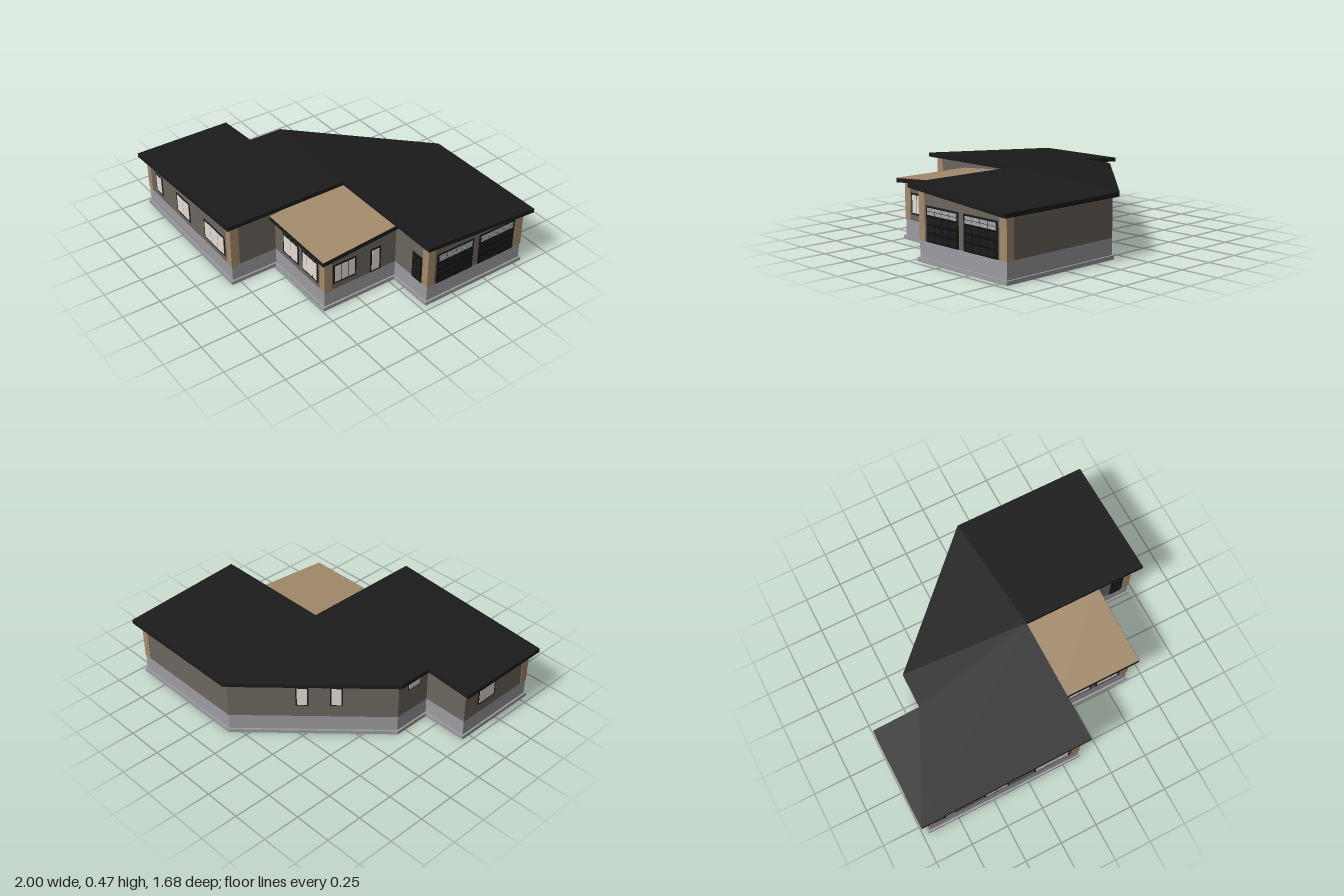
import * as THREE from 'three';

const material = (name, color) => {
  const m = new THREE.MeshStandardMaterial({ color });
  m.name = name;
  return m;
};

// Plans are counter-clockwise lists of [x, z] seen from above
const EAVES = [[-1, .841], [.155, .841], [.155, -.006], [1, -.006], [1, -.841], [.085, -.841], [-.68, -.076], [-.68, .16], [-1, .16]];
const WALLS = [[-.95, .8], [.11, .8], [.11, -.05], [.95, -.05], [.95, -.8], [.1, -.8], [-.64, -.06], [-.64, .2], [-.95, .2]];
const MAIN = [[-.64, .8], ...WALLS.slice(1, 7)];
const WING = [[-.95, .8], [-.64, .8], [-.64, .2], [-.95, .2]];
const ROOM = [[.11, .48], [.64, .48], [.64, -.05], [.11, -.05]];
const ROOM_EAVES = [[.11, .52], [.682, .52], [.682, -.045], [.11, -.045]];

// Roof heights: three planes meeting at the inner corner, and a lean-to
const mainRoof = (x, z) => Math.min(.47 - .0723 * (.155 - x), .47 + .0723 * (z + .006), .41 + .0662 * (x + z + .756));
const roomRoof = (x, z) => .395 + (.52 - z) * .08;
const THICK = .027;

// Upright solid over a plan; regions split the caps along folds
function prism(plan, bottom, top, regions = [plan]) {
  const pos = [];
  const put = (f, p) => pos.push(p[0], f(...p), p[1]);
  plan.forEach((a, i) => {
    const b = plan[(i + 1) % plan.length];
    [[bottom, a], [bottom, b], [top, b], [bottom, a], [top, b], [top, a]].forEach(([f, p]) => put(f, p));
  });
  for (const r of regions) {
    const contour = r.map(([x, z]) => new THREE.Vector2(x, -z));
    for (const [i, j, k] of THREE.ShapeUtils.triangulateShape(contour, [])) {
      [i, j, k].forEach(n => put(top, r[n]));
      [k, j, i].forEach(n => put(bottom, r[n]));
    }
  }
  const g = new THREE.BufferGeometry();
  g.setAttribute('position', new THREE.Float32BufferAttribute(pos, 3));
  g.computeVertexNormals();
  return g;
}

// Move every edge of a plan inward by d (outward when negative)
function inset(plan, d) {
  const n = plan.length;
  const dir = (a, b) => {
    const l = Math.hypot(b[0] - a[0], b[1] - a[1]);
    return [(b[1] - a[1]) / l, -(b[0] - a[0]) / l];
  };
  return plan.map((p, i) => {
    const u = dir(plan[(i + n - 1) % n], p), v = dir(p, plan[(i + 1) % n]);
    const k = d / (1 + u[0] * v[0] + u[1] * v[1]);
    return [p[0] + (u[0] + v[0]) * k, p[1] + (u[1] + v[1]) * k];
  });
}

// Hollow ring following a plan
function ring(plan, outer, inner, y, h) {
  const pts = d => inset(plan, d).map(([x, z]) => new THREE.Vector2(x, -z));
  const s = new THREE.Shape(pts(outer));
  s.holes.push(new THREE.Path(pts(inner)));
  return new THREE.ExtrudeGeometry(s, { depth: h, bevelEnabled: false }).rotateX(-Math.PI / 2).translate(0, y, 0);
}

export function createModel() {
  const house = new THREE.Group();
  house.name = 'house';
  const siding = material('taupe siding', 0x6c665e);
  const timber = material('timber', 0xa38b6b);
  const black = material('roof black', 0x1b1b1b);
  const dark = material('door black', 0x0f0f10);
  const concrete = material('concrete', 0x9c9ba0);
  const glass = material('pale glass', 0xe4dcd6);
  const grey = material('grey glass', 0xa6a6a9);
  const pale = material('pale floor', 0xd3ccbd);

  const add = (name, geo, mat, parent = house) => {
    const m = new THREE.Mesh(geo, mat);
    m.name = name;
    parent.add(m);
    return m;
  };

  // Foundations and floors
  for (const plan of [MAIN, WING, ROOM]) {
    add('footing', ring(plan, -.012, .042, 0, .025), concrete);
    add('foundationWall', ring(plan, 0, .03, .025, .105), concrete);
    add('floor', prism(inset(plan, .028), () => .124, () => .132), pale);
  }

  // Walls
  const floor = () => .13;
  const [P0, P1, A, P3, P4, P5, P6, P7, P8] = EAVES;
  add('mainWalls', prism(WALLS, floor, (x, z) => mainRoof(x, z) - THICK + .004), siding);
  add('roomWalls', prism(ROOM, floor, (x, z) => roomRoof(x, z) - .02), siding);

  // Roofs
  add('mainRoof', prism(EAVES, (x, z) => mainRoof(x, z) - THICK, mainRoof,
    [[P0, P1, A, P6, P7, P8], [A, P3, P4, P5], [A, P5, P6]]), black);
  add('roomRoof', prism(ROOM_EAVES, (x, z) => roomRoof(x, z) - THICK, roomRoof), black);
  add('roomRoofDeck', prism(inset(ROOM_EAVES, .002), roomRoof, (x, z) => roomRoof(x, z) + .003), timber);

  // Wall faces: local x runs to the right when looking at the face
  const face = (name, x, z, turn) => {
    const g = new THREE.Group();
    g.name = name;
    g.position.set(x, 0, z);
    g.rotation.y = turn;
    house.add(g);
    return g;
  };
  const H = Math.PI / 2;
  const front = face('frontWall', 0, .8, 0), roomFront = face('roomFront', 0, .48, 0);
  const entry = face('entryWall', 0, -.05, 0), back = face('backWall', 0, -.8, 2 * H);
  const inner = face('innerWall', .11, 0, H), roomSide = face('roomSide', .64, 0, H);
  const garage = face('garageWall', .95, 0, H), west = face('westWall', -.95, 0, -H);
  const nook = face('nookWall', -.64, 0, -H), slant = face('slantWall', -.27, -.43, -1.5 * H);

  const plate = (name, f, mat, u0, u1, y0, y1, out) => {
    const m = add(name, new THREE.BoxGeometry(u1 - u0, y1 - y0, out + .002), mat, f);
    m.position.set((u0 + u1) / 2, (y0 + y1) / 2, (out - .002) / 2);
  };

  // Timber corner boards
  for (const [f, u0, u1, top] of [
    [front, -.953, -.903, .37], [front, .06, .113, .447], [inner, -.803, -.745, .447],
    [roomFront, .59, .643, .377], [roomSide, -.483, -.43, .377],
    [entry, .9, .953, .445], [garage, .047, .1, .445], [garage, .745, .803, .393],
    [back, -.953, -.9, .39], [west, .745, .803, .37],
  ]) plate('cornerBoard', f, timber, u0, u1, .13, top, .003);

  // Windows: frame with panes; splits are fractions of the width
  const window = (f, u0, u1, y0, y1, splits = [], rim = .012) => {
    plate('windowFrame', f, black, u0, u1, y0, y1, .003);
    const a = u0 + rim, w = u1 - u0 - 2 * rim, cuts = [0, ...splits, 1];
    for (let i = 0; i + 1 < cuts.length; i++) {
      const l = i ? .002 : 0, r = i + 2 < cuts.length ? .002 : 0;
      plate('windowPane', f, glass, a + w * cuts[i] + l, a + w * cuts[i + 1] - r, y0 + rim, y1 - rim, .005);
    }
  };
  window(front, -.84, -.75, .165, .31);
  window(front, -.56, -.39, .165, .31, [.5]);
  window(front, -.21, .04, .165, .31, [.32, .68]);
  window(roomFront, .2, .37, .165, .31, [.5]);
  window(roomFront, .405, .575, .165, .31, [.28, .72]);
  window(roomSide, -.42, -.25, .17, .31, [.31, .69]);
  window(roomSide, -.145, -.065, .132, .305);
  window(slant, -.107, -.027, .214, .356, [], .009);
  window(slant, .105, .185, .214, .356, [], .009);
  window(nook, .02, .13, .297, .382, [], .006);
  window(west, .32, .48, .195, .335, [], .011);

  // Panelled entry door
  plate('entryDoorFrame', entry, black, .805, .898, .13, .317, .003);
  plate('entryDoor', entry, dark, .815, .888, .13, .307, .005);
  for (const u of [.823, .855]) for (const [y, h] of [[.142, .05], [.202, .05], [.262, .034]])
    plate('doorPanel', entry, black, u, u + .025, y, y + h, .007);

  // Garage doors: three rows of panels under a row of glass
  for (const u of [.115, .445]) {
    plate('garageDoorFrame', garage, black, u, u + .287, .13, .347, .003);
    plate('garageDoor', garage, dark, u + .01, u + .277, .13, .338, .005);
    for (let c = 0; c < 4; c++) {
      const a = u + .014 + c * .0655;
      for (let r = 0; r < 3; r++) plate('garagePanel', garage, black, a + .003, a + .06, .14 + r * .051, .178 + r * .051, .007);
      for (const y of [.293, .316]) plate('garagePane', garage, grey, a, a + .062, y, y + .02, .007);
    }
  }
  return house;
}
